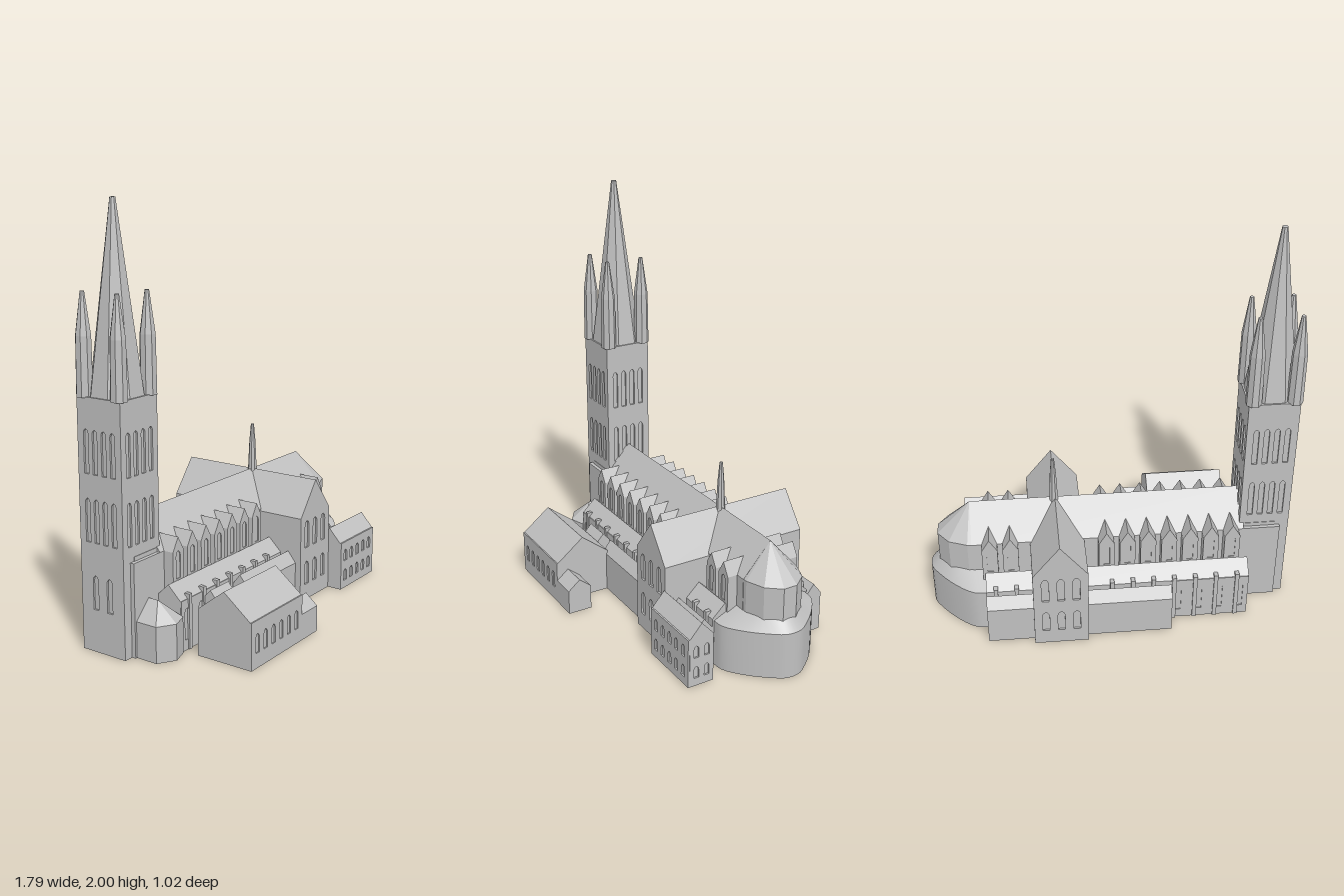
import * as THREE from 'three';

const AXIS = -0.127; // z of the church's long axis

export function createModel() {
  const group = new THREE.Group();
  const stone = new THREE.MeshStandardMaterial({ color: 0xc0c0c0 });
  stone.name = 'stone grey';

  const add = (name, geo) => {
    const mesh = new THREE.Mesh(geo, stone);
    mesh.name = name;
    group.add(mesh);
    return mesh;
  };
  const flat = (geo) => {
    const g = geo.index ? geo.toNonIndexed() : geo;
    g.computeVertexNormals();
    return g;
  };
  const polygon = (pts) => new THREE.Shape(pts.map(([x, y]) => new THREE.Vector2(x, y)));
  const box = (name, x0, x1, y0, y1, z0, z1) =>
    add(name, new THREE.BoxGeometry(x1 - x0, y1 - y0, z1 - z0)
      .translate((x0 + x1) / 2, (y0 + y1) / 2, (z0 + z1) / 2));

  // House-shaped block with its ridge along x or along z
  const house = (name, along, x0, x1, z0, z1, eave, ridge, base = 0) => {
    const [u0, u1, depth] = along === 'x' ? [-z1, -z0, x1 - x0] : [x0, x1, z1 - z0];
    const section = polygon([[u0, base], [u1, base], [u1, eave], [(u0 + u1) / 2, ridge], [u0, eave]]);
    const geo = new THREE.ExtrudeGeometry(section, { depth, bevelEnabled: false });
    if (along === 'x') geo.rotateY(Math.PI / 2).translate(x0, 0, 0);
    else geo.translate(0, 0, z0);
    return add(name, geo);
  };

  // Thin wall facing pierced by pointed windows [centre, sill, width, height]
  const facing = (name, outline, windows, x, z, angle, depth = 0.009) => {
    const shape = polygon(outline);
    for (const [c, y, w, h] of windows) {
      const hole = new THREE.Path();
      hole.moveTo(c - w / 2, y);
      hole.lineTo(c - w / 2, y + h - w * 0.8);
      hole.quadraticCurveTo(c - w / 2, y + h - w * 0.25, c, y + h);
      hole.quadraticCurveTo(c + w / 2, y + h - w * 0.25, c + w / 2, y + h - w * 0.8);
      hole.lineTo(c + w / 2, y);
      shape.holes.push(hole);
    }
    const geo = new THREE.ExtrudeGeometry(shape, { depth, bevelEnabled: false, curveSegments: 3 });
    add(name, geo.rotateY(angle).translate(x, 0, z));
  };
  const rect = (hw, y0, y1) => [[-hw, y0], [hw, y0], [hw, y1], [-hw, y1]];
  const row = (n, step, y, w, h) =>
    Array.from({ length: n }, (_, i) => [(i - (n - 1) / 2) * step, y, w, h]);

  // Strips of surface between successive rings of points
  const loft = (name, rings, smooth) => {
    for (let r = 0; r < rings.length - 1; r++) {
      const n = rings[r].length, index = [];
      for (let i = 0; i < n - 1; i++) index.push(i, i + 1, n + i, i + 1, n + i + 1, n + i);
      const geo = new THREE.BufferGeometry();
      geo.setAttribute('position', new THREE.Float32BufferAttribute([...rings[r], ...rings[r + 1]].flat(), 3));
      geo.setIndex(index);
      geo.computeVertexNormals();
      add(name, smooth ? geo : flat(geo));
    }
  };
  const spire = (name, profile, x, z) => {
    const pts = profile.map(([r, y]) => new THREE.Vector2(r, y));
    add(name, flat(new THREE.LatheGeometry(pts, 8).rotateY(Math.PI / 8)).translate(x, 0, z));
  };

  // Nave, choir and west end
  house('nave', 'x', -0.66, 0.68, AXIS - 0.143, AXIS + 0.143, 0.44, 0.6);
  box('westEnd', -0.84, -0.64, 0, 0.44, AXIS - 0.143, AXIS + 0.143);
  box('westEndRoof', -0.815, -0.64, 0.44, 0.46, AXIS - 0.125, AXIS + 0.125);
  house('transept', 'z', 0.13, 0.395, -0.507, 0.248, 0.43, 0.6);

  // Transept end walls with two rows of windows
  const gable = [[-0.1325, 0], [0.1325, 0], [0.1325, 0.43], [0, 0.6], [-0.1325, 0.43]];
  const gableWindows = [...row(3, 0.075, 0.08, 0.035, 0.12), ...row(3, 0.075, 0.27, 0.035, 0.14)];
  facing('southTranseptWall', gable, gableWindows, 0.2625, 0.248, 0);
  facing('northTranseptWall', gable, gableWindows, 0.2625, -0.507, Math.PI);

  // Apse and its hipped roof
  const mirrorRing = (half) => [...half, ...half.slice().reverse().map(([x, z]) => [x, -z])];
  const apse = mirrorRing([[0.62, 0.143], [0.70, 0.14], [0.79, 0.105], [0.845, 0.035]]);
  const at = (pts, y) => pts.map(([x, z]) => [x, y, AXIS + z]);
  const point = (pts, x, y) => pts.map(() => [x, y, AXIS]);
  loft('apse', [at(apse, 0.2), at(apse, 0.44), point(apse, 0.68, 0.6)]);

  // Rounded ambulatory with a lean-to roof
  const smoothRing = (pts) =>
    new THREE.CatmullRomCurve3(pts.map(([x, z]) => new THREE.Vector3(x, 0, z)))
      .getPoints(28).map((p) => [p.x, p.z]);
  const outer = smoothRing(mirrorRing([[0.61, 0.258], [0.68, 0.25], [0.77, 0.185], [0.85, 0.095], [0.887, 0.035]]));
  const inner = smoothRing(mirrorRing([[0.61, 0.138], [0.70, 0.133], [0.785, 0.1], [0.838, 0.03]]));
  loft('ambulatory', [point(outer, 0.61, 0), at(outer, 0), at(outer, 0.23), at(inner, 0.285)], true);

  // Aisles, outer chapels, bay gables and buttresses on both sides
  const bays = [-0.595, -0.49, -0.387, -0.283, -0.18, -0.078, 0.025, 0.492, 0.593];
  for (const side of [1, -1]) {
    const span = (a, b) => [AXIS + side * a, AXIS + side * b].sort((p, q) => p - q);
    house('aisle', 'x', -0.675, 0.62, ...span(0.13, 0.267), 0.24, 0.305);
    house('outerChapel', 'x', -0.283, 0.62, ...span(0.267, 0.354), 0.2, 0.255);
    for (const x of bays) {
      house('bayGable', 'z', x - 0.038, x + 0.038, ...span(0.08, 0.19), 0.44, 0.505, 0.2);
      box('buttress', x - 0.03, x - 0.01, 0, 0.262, ...span(0.25, 0.278));
    }
    // Clerestory lancets on the bay fronts
    for (const x of bays) {
      facing('bayWindowFrame', [[-0.038, 0.26], [0.038, 0.26], [0.038, 0.44], [0, 0.505], [-0.038, 0.44]],
        [[0, 0.31, 0.03, 0.13]], x, AXIS + side * 0.19, side > 0 ? 0 : Math.PI, 0.004);
    }
    // Aisle windows west of the outer chapels
    facing('aisleWall', rect(0.195, 0, 0.24), row(4, 0.103, 0.05, 0.03, 0.15),
      -0.479, AXIS + side * 0.267, side > 0 ? 0 : Math.PI, 0.004);
  }

  // Tower: core with windowed facings on four sides
  const tx = -0.7625, half = 0.1225, core = half - 0.009;
  box('towerCore', tx - core, tx + core, 0, 1.16, AXIS - core, AXIS + core);
  for (let i = 0; i < 4; i++) {
    const a = i * Math.PI / 2;
    const windows = [...row(4, 0.05, 0.82, 0.026, 0.2), ...row(4, 0.05, 0.51, 0.026, 0.2)];
    if (i === 3) windows.push(...row(2, 0.08, 0.2, 0.03, 0.16));
    facing('towerWall', rect(i % 2 ? core : half, 0, 1.16), windows,
      tx + Math.sin(a) * core, AXIS + Math.cos(a) * core, a);
  }

  // Main spire, corner pinnacles and crossing spirelet
  spire('mainSpire', [[0, 1.155], [0.125, 1.155], [0.013, 2], [0, 2]], tx, AXIS);
  for (const sx of [-1, 1]) for (const sz of [-1, 1]) {
    spire('cornerPinnacle', [[0, 1.155], [0.039, 1.155], [0.036, 1.42], [0.01, 1.61], [0, 1.61]],
      tx + sx * 0.097, AXIS + sz * 0.097);
  }
  spire('crossingSpirelet', [[0.024, 0.56], [0.016, 0.74], [0.008, 0.83], [0, 0.83]], 0.268, AXIS);

  // Porch: many-sided walls with a hipped roof
  const porch = [[-0.83, 0], [-0.83, 0.125], [-0.75, 0.176], [-0.67, 0.15], [-0.67, 0]];
  const porchRing = (y) => porch.map(([x, z]) => [x, y, z]);
  const porchRidge = [0, 0.068, 0.068, 0.068, 0].map((z) => [-0.745, 0.255, z]);
  loft('porch', [porch.map(() => [-0.75, 0, 0]), porchRing(0), porchRing(0.17), porchRidge]);

  // South-west hall with its lean-on wing and link passage
  house('hall', 'x', -0.655, -0.25, 0.22, 0.501, 0.22, 0.33);
  facing('hallSouthWall', rect(0.2025, 0, 0.22), row(6, 0.062, 0.07, 0.026, 0.09), -0.4525, 0.499, 0, 0.008);
  house('hallWing', 'x', -0.26, -0.12, 0.385, 0.507, 0.125, 0.175);
  house('linkPassage', 'x', -0.51, -0.37, 0.135, 0.225, 0.2, 0.25);

  // South-east house with two rows of windows
  house('vestry', 'x', 0.395, 0.717, 0.2, 0.325, 0.245, 0.315);
  facing('vestrySouthWall', rect(0.1645, 0, 0.245),
    [...row(5, 0.06, 0.04, 0.028, 0.06), ...row(5, 0.06, 0.145, 0.028, 0.06)], 0.5595, 0.325, 0, 0.008);
  facing('vestryEastWall', [[-0.0625, 0], [0.0625, 0], [0.0625, 0.245], [0, 0.315], [-0.0625, 0.245]],
    [...row(2, 0.055, 0.04, 0.026, 0.06), ...row(2, 0.055, 0.145, 0.026, 0.06)],
    0.717, 0.2625, Math.PI / 2, 0.008);

  return group;
}
